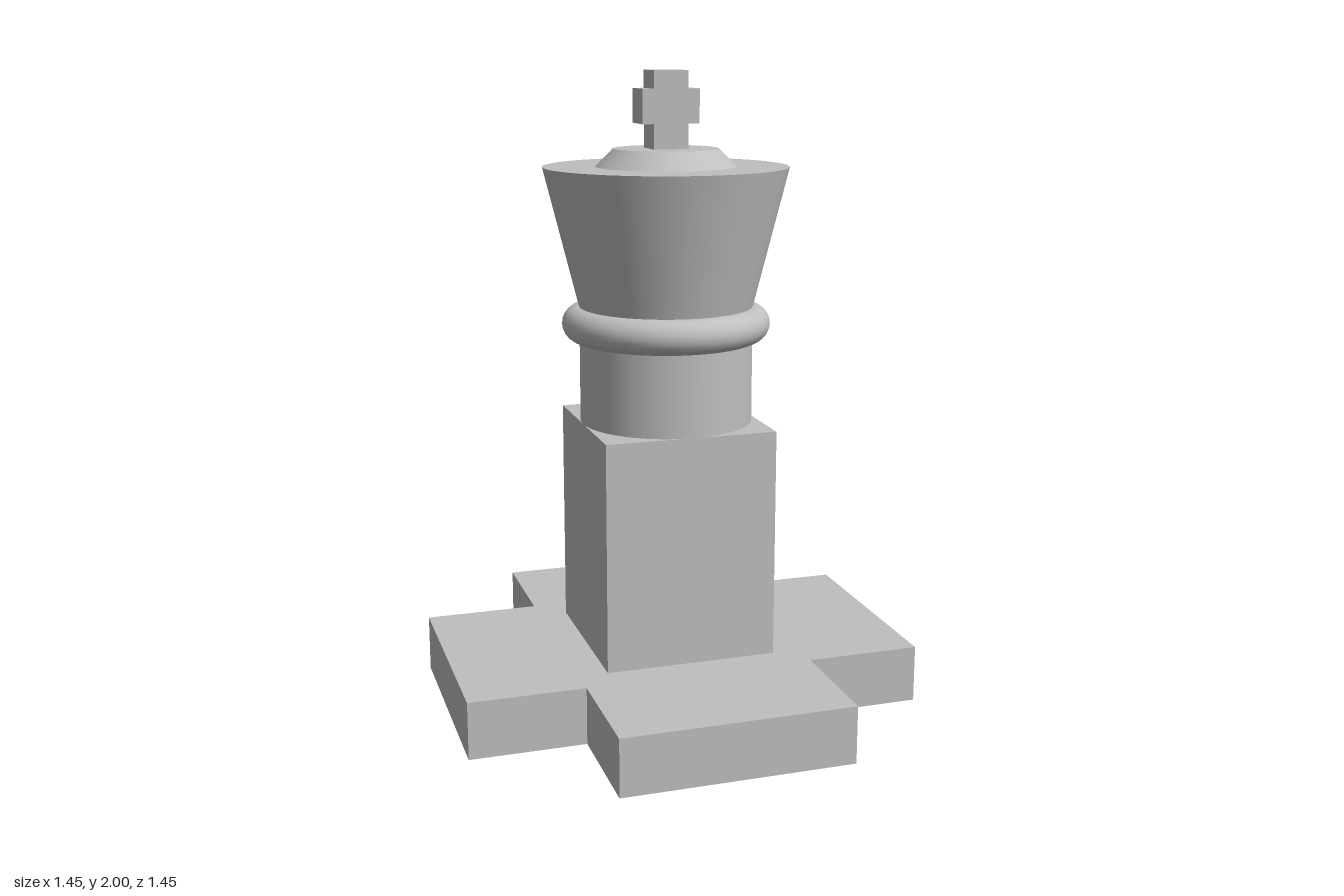
import * as THREE from 'three';

const U = 2 / 11; // module unit that all sizes follow
const SEG = 64;

// Outline of a plus shape: a is the half length, b the half width of an arm
function plusShape(ax, ay, bx, by) {
  const pts = [[ax, -by], [ax, by], [bx, by], [bx, ay], [-bx, ay], [-bx, by],
    [-ax, by], [-ax, -by], [-bx, -by], [-bx, -ay], [bx, -ay], [bx, -by]];
  return new THREE.Shape(pts.map(([x, y]) => new THREE.Vector2(x, y)));
}

export function createModel() {
  const group = new THREE.Group();
  const grey = new THREE.MeshStandardMaterial({ color: 0xbfbfbf });
  grey.name = 'plainGrey';

  const add = (name, geometry, y = 0) => {
    const mesh = new THREE.Mesh(geometry, grey);
    mesh.name = name;
    mesh.position.y = y;
    group.add(mesh);
    return mesh;
  };
  const extrude = (shape, depth) =>
    new THREE.ExtrudeGeometry(shape, { depth, bevelEnabled: false, curveSegments: SEG / 2 });

  // Plus-shaped base, with two round sockets in its underside
  const socketDepth = 0.15;
  const lower = plusShape(4 * U, 4 * U, 2 * U, 2 * U);
  for (const s of [-1, 1]) {
    const hole = new THREE.Path();
    hole.absarc(s * U, -s * U, U, 0, Math.PI * 2, true);
    lower.holes.push(hole);
  }
  add('baseWithSockets', extrude(lower, socketDepth).rotateX(-Math.PI / 2));
  add('baseTop', extrude(plusShape(4 * U, 4 * U, 2 * U, 2 * U), U - socketDepth)
    .rotateX(-Math.PI / 2), socketDepth);

  // Square column and round neck
  add('column', new THREE.BoxGeometry(3 * U, 4 * U, 3 * U), 3 * U);
  add('neck', new THREE.CylinderGeometry(1.5 * U, 1.5 * U, 2 * U, SEG), 6 * U);

  // Collar ring
  add('collar', new THREE.TorusGeometry(1.5 * U, 0.3 * U, 24, SEG).rotateX(Math.PI / 2), 6.72 * U);

  // Flared head and bevelled cap
  add('head', new THREE.CylinderGeometry(2.1 * U, 1.5 * U, 2.4 * U, SEG), 8.2 * U);
  add('cap', new THREE.CylinderGeometry(0.9 * U, 1.2 * U, 0.3 * U, SEG), 9.55 * U);

  // Cross finial: tall bar with a short crossbar
  const finial = extrude(plusShape(0.5 * U, 0.7 * U, 0.3 * U, 0.29 * U), 0.6 * U);
  add('finialCross', finial.translate(0, 0, -0.3 * U), 10.41 * U);
  // Stem continues down to the cap
  const top = 11 * U, capTop = 9.7 * U;
  const cross = group.getObjectByName('finialCross');
  cross.position.y = (top + capTop) / 2 + 0.06 * U;
  cross.geometry.dispose();
  const up = top - cross.position.y, down = cross.position.y - capTop;
  const shape = plusShape(0.5 * U, up, 0.3 * U, 0.29 * U);
  const pts = shape.getPoints().map((p) => (p.y < -0.3 * U ? p.setY(-down) : p));
  cross.geometry = extrude(new THREE.Shape(pts), 0.6 * U).translate(0, 0, -0.3 * U);

  return group;
}
